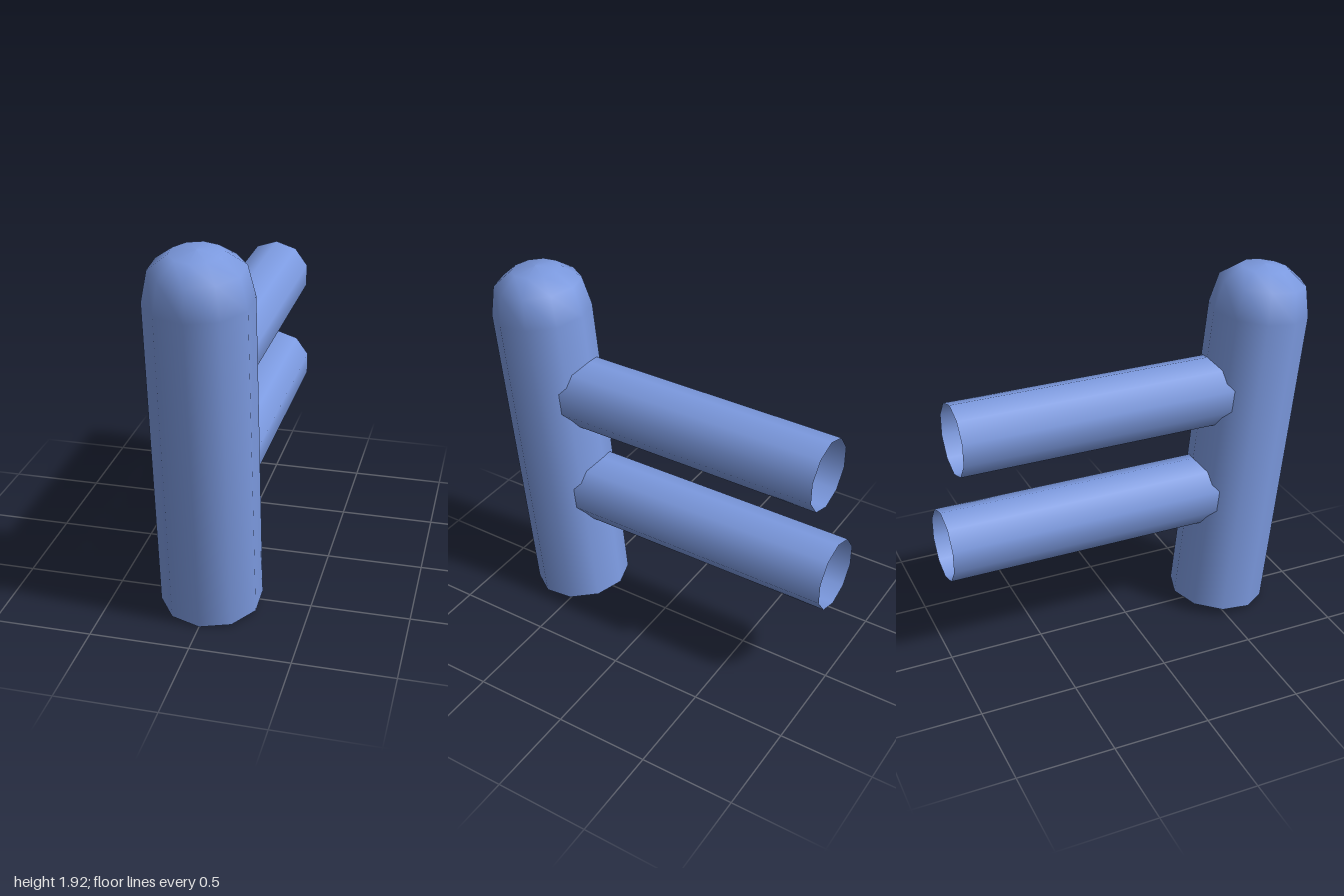
import * as THREE from 'three';

const SIDES = 10;
const POST_RADIUS = 0.258;
const TILT = 0.113; // forward lean of the post, radians
const BASE = { y: 0.03, z: 0.558 };

export function createModel() {
  const group = new THREE.Group();
  const blue = new THREE.MeshStandardMaterial({ color: 0x7c9ae0, side: THREE.DoubleSide });
  blue.name = 'blue';

  // Leaning post with a rounded top and an open bottom
  const profile = [
    [POST_RADIUS, 0], [POST_RADIUS, 1.662], [0.224, 1.817], [0.126, 1.888], [0, 1.901],
  ].map(([r, y]) => new THREE.Vector2(r, y));
  const post = new THREE.Mesh(new THREE.LatheGeometry(profile, SIDES), blue);
  post.name = 'post';
  post.rotation.x = TILT;
  post.position.set(0, BASE.y, BASE.z);
  group.add(post);

  // z of the back of the post at a given x and y
  const postBack = (x, y) =>
    BASE.z + (y - BASE.y) * Math.tan(TILT) - Math.sqrt(POST_RADIUS ** 2 - x * x) / Math.cos(TILT);

  // Open tube running back from the post, its front rim cut to the post's curve
  function addPeg(name, y, endZ) {
    const radius = 0.187;
    const geometry = new THREE.CylinderGeometry(radius, radius, 1, SIDES, 1, true);
    geometry.rotateX(-Math.PI / 2);
    const p = geometry.attributes.position;
    for (let i = 0; i < p.count; i++) {
      const atPost = p.getZ(i) > 0;
      p.setZ(i, atPost ? postBack(p.getX(i), y + p.getY(i)) + 0.03 : endZ);
    }
    const peg = new THREE.Mesh(geometry, blue);
    peg.name = name;
    peg.position.y = y;
    group.add(peg);
  }
  addPeg('upperPeg', 1.273, -0.915);
  addPeg('lowerPeg', 0.698, -1);

  return group;
}
